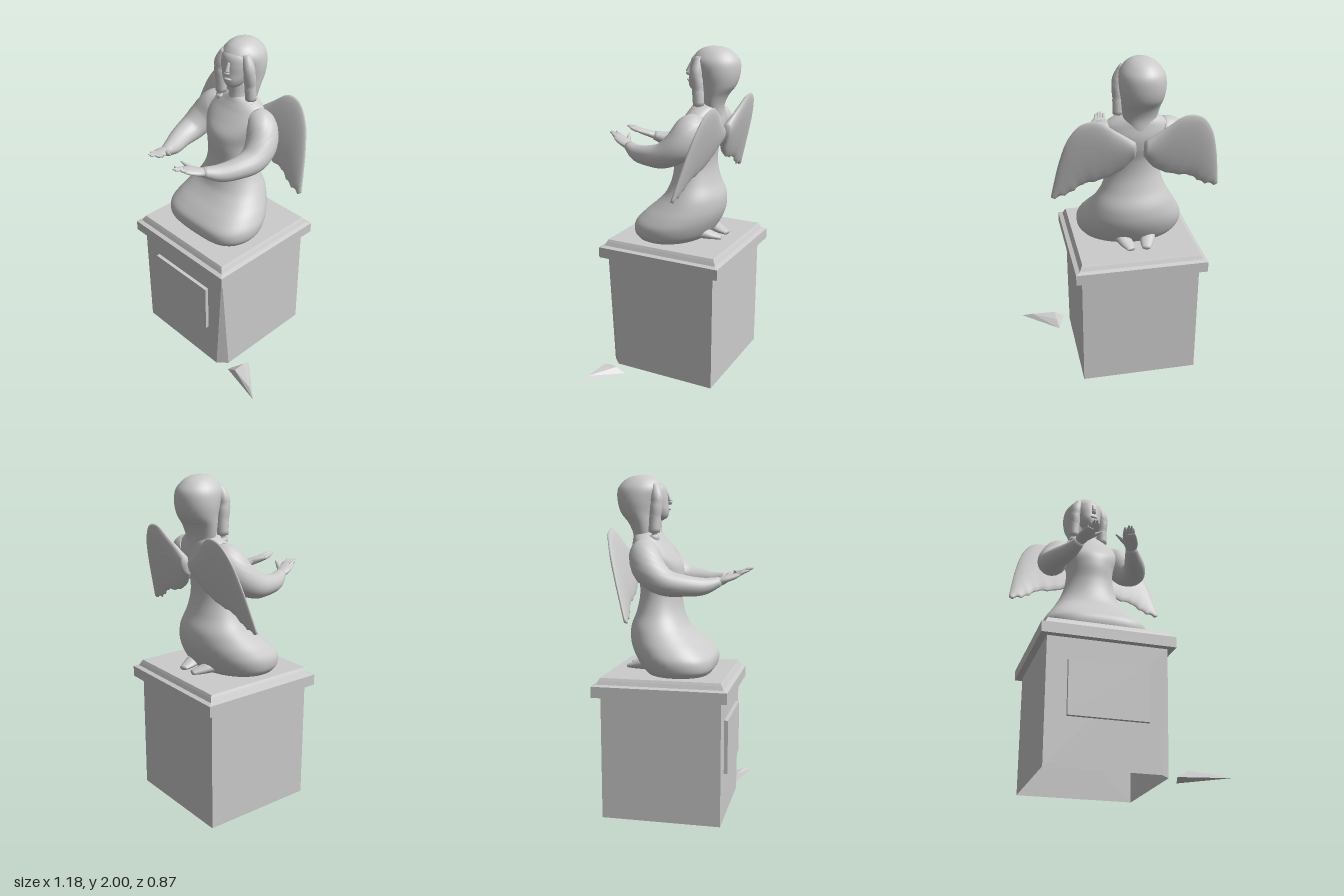
import * as THREE from 'three';
import { ConvexGeometry } from 'three/addons/geometries/ConvexGeometry.js';

const V = (x, y, z) => new THREE.Vector3(x, y, z);
const stone = new THREE.MeshStandardMaterial({ color: 0xcccccc });
const cutStone = new THREE.MeshStandardMaterial({ color: 0xcccccc, flatShading: true, side: THREE.DoubleSide });
const CX = -0.093; // figure's mirror plane

function add(parent, name, geometry, material = stone) {
  const mesh = new THREE.Mesh(geometry, material);
  mesh.name = name;
  parent.add(mesh);
  return mesh;
}

// Skin over rings of equal length, each counter-clockwise about the travel direction
function skin(rings, caps = true) {
  const n = rings[0].length, pts = rings.flat(), index = [];
  for (let i = 0; i < rings.length - 1; i++) {
    for (let j = 0; j < n; j++) {
      const a = i * n + j, b = i * n + (j + 1) % n;
      index.push(a, b, b + n, a, b + n, a + n);
    }
  }
  if (caps) {
    [[0, true], [rings.length - 1, false]].forEach(([r, start]) => {
      const centre = rings[r].reduce((s, p) => s.add(p), V(0, 0, 0)).divideScalar(n);
      const c = pts.push(centre) - 1;
      for (let j = 0; j < n; j++) {
        const a = r * n + j, b = r * n + (j + 1) % n;
        if (start) index.push(c, b, a); else index.push(c, a, b);
      }
    });
  }
  const g = new THREE.BufferGeometry().setFromPoints(pts);
  g.setIndex(index);
  g.computeVertexNormals();
  return g;
}

const ellipse = (c, u, v, n) => Array.from({ length: n }, (_, j) => {
  const a = j / n * Math.PI * 2;
  return c.clone().addScaledVector(u, Math.cos(a)).addScaledVector(v, Math.sin(a));
});

// Horizontal sections [y, half width, front z, back z, front notch], smoothed between
function stack(sections, n = 32, steps = 40) {
  const shape = new THREE.CatmullRomCurve3(sections.map(s => V(s[0], s[1], s[4] || 0)), false, 'centripetal');
  const depth = new THREE.CatmullRomCurve3(sections.map(s => V(s[0], s[2], s[3])), false, 'centripetal');
  const rings = [];
  for (let i = 0; i <= steps; i++) {
    const s = shape.getPoint(i / steps), d = depth.getPoint(i / steps);
    const ring = ellipse(V(0, s.x, (d.y + d.z) / 2), V(s.y, 0, 0), V(0, 0, -(d.y - d.z) / 2), n);
    ring.forEach(p => {
      const front = Math.max(0, (p.z - (d.y + d.z) / 2) / ((d.y - d.z) / 2));
      const side = Math.abs(p.x) / s.y;
      // fuller corners where the knees push out
      if (s.z > 0) p.z += front * s.z * (2.2 * side * side - 1);
    });
    rings.push(ring);
  }
  return skin(rings);
}

// Tapered limb: points [x, y, z, half width, half thickness]
function limb(points, n = 14, steps = 18) {
  const path = new THREE.CatmullRomCurve3(points.map(p => V(p[0], p[1], p[2])));
  const size = new THREE.CatmullRomCurve3(points.map((p, i) => V(p[3], p[4] ?? p[3], i)));
  const rings = [];
  for (let i = 0; i <= steps; i++) {
    const t = i / steps, T = path.getTangent(t), s = size.getPoint(t);
    const U = V(0, 1, 0).cross(T).normalize(), W = T.clone().cross(U);
    rings.push(ellipse(path.getPoint(t), U.multiplyScalar(s.x), W.multiplyScalar(s.y), n));
  }
  return skin(rings);
}

function mirrored(geometry) {
  const g = geometry.clone().scale(-1, 1, 1);
  const idx = g.index.array;
  for (let i = 0; i < idx.length; i += 3) [idx[i], idx[i + 1]] = [idx[i + 1], idx[i]];
  g.computeVertexNormals();
  return g;
}

// Curved wing with a scalloped feather edge, swept forward towards its tip
function wingGeometry() {
  const curve = pts => new THREE.CatmullRomCurve3(pts.map(p => V(p[0] - CX, p[1], 0)));
  const lead = curve([[-0.12, 1.54], [-0.23, 1.62], [-0.34, 1.695], [-0.43, 1.68], [-0.5, 1.59], [-0.545, 1.45], [-0.575, 1.3], [-0.592, 1.2]]);
  const trail = curve([[-0.12, 1.44], [-0.18, 1.36], [-0.26, 1.31], [-0.34, 1.285], [-0.41, 1.27], [-0.46, 1.23], [-0.51, 1.2], [-0.565, 1.185]]);
  const rings = [], steps = 42, n = 20;
  for (let i = 0; i <= steps; i++) {
    const t = i / steps, P = lead.getPoint(t), Q = trail.getPoint(t);
    Q.y += 0.014 * Math.abs(Math.sin(t * Math.PI * 7)) * t;
    const th = 0.034 - 0.024 * t;
    const ring = ellipse(P.clone().add(Q).multiplyScalar(0.5), P.clone().sub(Q).multiplyScalar(0.5), V(0, 0, -th), n);
    ring.forEach(p => { p.z += -0.335 + 0.28 * (1.7 - p.y); });
    rings.push(ring);
  }
  return skin(rings);
}

function buildPedestal(root) {
  const pedestal = new THREE.Group();
  pedestal.name = 'pedestal';
  root.add(pedestal);
  // Hollow block with a chipped front corner
  const outline = (pts, y) => pts.map(([x, z]) => V(x, y, z));
  const back = [[0.265, -0.39], [-0.445, -0.39], [-0.445, 0.315]];
  add(pedestal, 'block', skin([
    outline([[0.265, 0.26], ...back, [0.21, 0.315]], 0),
    outline([[0.265, 0.312], ...back, [0.262, 0.315]], 0.74),
  ], false), cutStone);
  // Stepped cap
  const square = (h, y) => outline([[h, h], [h, -h], [-h, -h], [-h, h]], y)
    .map(p => p.add(V(-0.09, 0, -0.04)));
  add(pedestal, 'cap', skin([[0.395, 0.735], [0.395, 0.8], [0.37, 0.808], [0.36, 0.83], [0.352, 0.845]]
    .map(([h, y]) => square(h, y))), cutStone);
  const plaque = add(pedestal, 'plaque', new THREE.BoxGeometry(0.465, 0.32, 0.03), cutStone);
  plaque.position.set(-0.092, 0.44, 0.322);
  // Broken-off corner lying on the ground
  add(root, 'fallenChip', new ConvexGeometry([V(0.35, 0, 0.16), V(0.3, 0, 0.3), V(0.588, 0, 0.36),
    V(0.365, 0.04, 0.3), V(0.36, 0.035, 0.22), V(0.52, 0.028, 0.325)]), cutStone);
}

function buildHead(figure) {
  const head = new THREE.Group();
  head.name = 'head';
  head.position.set(-0.015, 0, -0.21);
  head.rotation.y = 0.2;
  figure.add(head);
  const put = (name, g) => add(head, name, g.translate(0, 0, 0.21));
  put('hair', stack([[1.58, 0.075, -0.17, -0.27], [1.66, 0.1, -0.15, -0.275], [1.72, 0.112, -0.14, -0.3],
    [1.78, 0.122, -0.13, -0.345], [1.85, 0.13, -0.11, -0.365], [1.92, 0.122, -0.085, -0.362],
    [1.97, 0.085, -0.115, -0.32], [1.992, 0.05, -0.155, -0.275], [2.0, 0.012, -0.2, -0.225]]));
  put('face', stack([[1.735, 0.025, -0.1, -0.2], [1.755, 0.05, -0.07, -0.22], [1.79, 0.072, -0.06, -0.24],
    [1.83, 0.085, -0.064, -0.24], [1.88, 0.092, -0.068, -0.24], [1.93, 0.085, -0.08, -0.24], [1.965, 0.05, -0.12, -0.22]]));
  put('nose', limb([[0, 1.9, -0.073, 0.008], [0, 1.865, -0.06, 0.012], [0, 1.843, -0.056, 0.015], [0, 1.832, -0.066, 0.01]]));
  put('lips', new THREE.SphereGeometry(1, 14, 10).scale(0.025, 0.008, 0.012).translate(0, 1.803, -0.062));
  // Locks falling beside the face onto the shoulders
  const lock = limb([[0.07, 1.94, -0.14, 0.025], [0.1, 1.86, -0.13, 0.035], [0.102, 1.75, -0.14, 0.034],
    [0.105, 1.66, -0.145, 0.032], [0.1, 1.58, -0.14, 0.02]]);
  put('rightLock', mirrored(lock));
  put('leftLock', lock);
}

export function createModel() {
  const root = new THREE.Group();
  root.name = 'kneelingAngelStatue';
  buildPedestal(root);

  const figure = new THREE.Group();
  figure.name = 'angel';
  figure.position.x = CX;
  root.add(figure);

  // Kneeling gown and torso in one sweep
  add(figure, 'gown', stack([[0.846, 0.29, 0.24, -0.19, 0.035], [0.88, 0.315, 0.265, -0.22, 0.04],
    [0.94, 0.323, 0.265, -0.255, 0.04], [1.0, 0.3, 0.21, -0.28, 0.035], [1.06, 0.265, 0.135, -0.29, 0.025],
    [1.12, 0.23, 0.07, -0.285, 0.01], [1.2, 0.187, 0.03, -0.255], [1.3, 0.157, 0.018, -0.235],
    [1.4, 0.152, 0.028, -0.242], [1.48, 0.178, 0.02, -0.265], [1.55, 0.205, -0.025, -0.275],
    [1.61, 0.185, -0.07, -0.27], [1.65, 0.135, -0.095, -0.265], [1.68, 0.07, -0.11, -0.255]], 48, 70));
  add(figure, 'neck', stack([[1.6, 0.085, -0.09, -0.25], [1.68, 0.062, -0.105, -0.25], [1.78, 0.06, -0.1, -0.25]], 20, 8));
  buildHead(figure);

  const arm = limb([[0.13, 1.57, -0.17, 0.07], [0.19, 1.54, -0.16, 0.092], [0.24, 1.46, -0.12, 0.095],
    [0.262, 1.395, -0.03, 0.085, 0.078], [0.245, 1.375, 0.08, 0.068, 0.062], [0.205, 1.37, 0.18, 0.055, 0.05],
    [0.16, 1.395, 0.27, 0.034, 0.027]], 20, 32);
  const palm = limb([[0.165, 1.392, 0.26, 0.03, 0.024], [0.15, 1.408, 0.3, 0.042, 0.02],
    [0.125, 1.425, 0.35, 0.042, 0.016], [0.115, 1.435, 0.375, 0.034, 0.01]]);
  const thumb = limb([[0.135, 1.405, 0.29, 0.018], [0.085, 1.425, 0.315, 0.013], [0.045, 1.442, 0.33, 0.005]], 10, 8);
  const fingers = [0, 1, 2, 3].map(i => {
    const x = 0.09 + i * 0.017, reach = [0.405, 0.43, 0.428, 0.405][i];
    return limb([[x, 1.428, 0.355, 0.011], [x - 0.006, 1.443, 0.39, 0.01], [x - 0.01, 1.455, reach, 0.005]], 8, 8);
  });
  const foot = limb([[0.1, 0.885, -0.1, 0.05, 0.04], [0.08, 0.885, -0.19, 0.045, 0.035],
    [0.06, 0.872, -0.25, 0.04, 0.024], [0.045, 0.862, -0.305, 0.025, 0.012]]);
  const wing = wingGeometry();
  for (const side of ['left', 'right']) {
    const put = (name, g, isRight = false) =>
      add(figure, side + name, (side === 'right') === isRight ? g : mirrored(g));
    put('Arm', arm);
    put('Palm', palm);
    put('Thumb', thumb);
    fingers.forEach((f, i) => put('Finger' + (i + 1), f));
    put('Foot', foot);
    put('Wing', wing, true);
  }
  return root;
}
